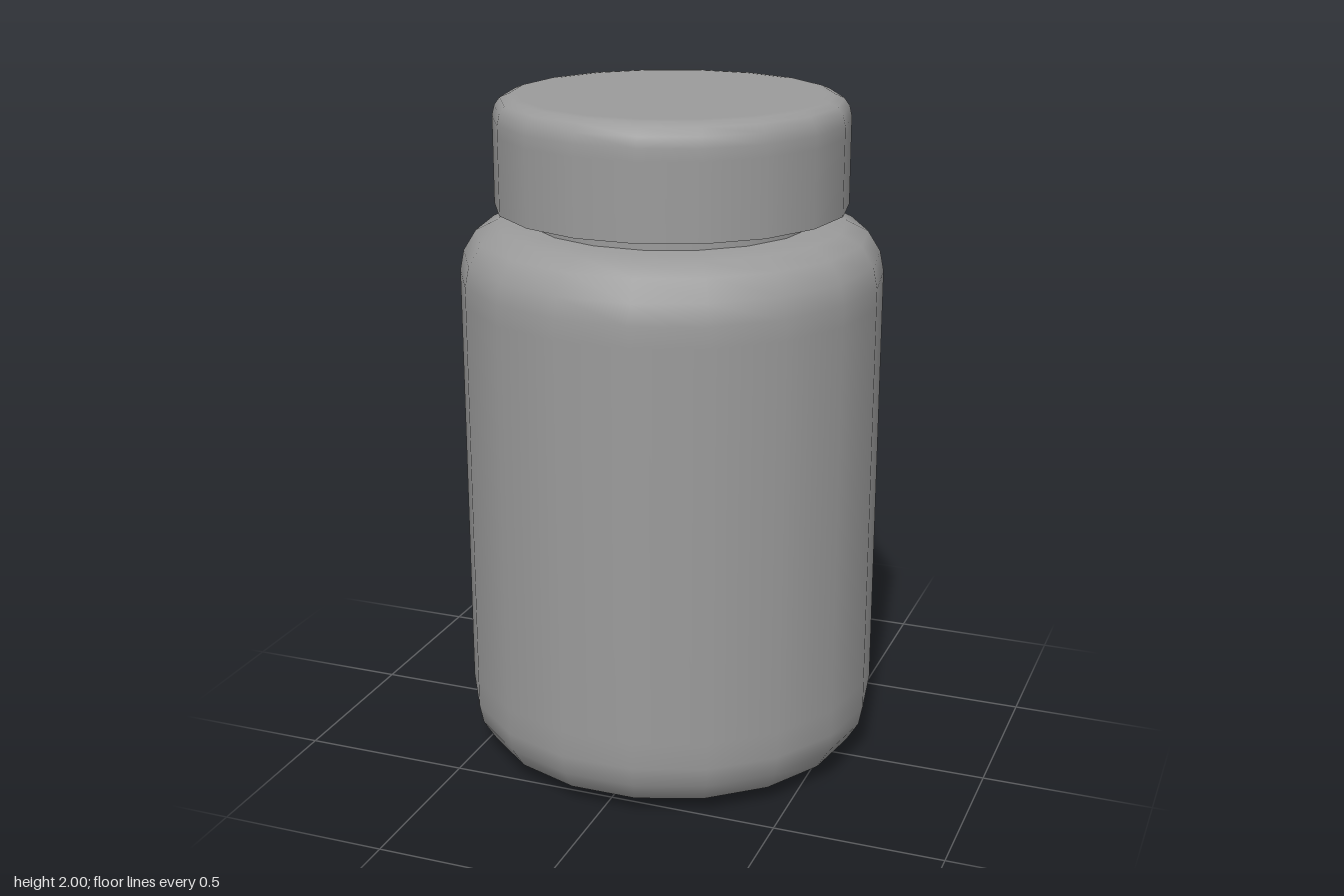
import * as THREE from 'three';

const SIDES = 18;

// Revolve a profile of [radius, height] pairs, listed from bottom to top
function lathe(name, profile, material) {
  const points = profile.map(([r, y]) => new THREE.Vector2(r, y));
  const geometry = new THREE.LatheGeometry(points, SIDES, Math.PI / 2);
  const mesh = new THREE.Mesh(geometry, material);
  mesh.name = name;
  return mesh;
}

export function createModel() {
  const material = new THREE.MeshStandardMaterial({ color: 0x9b9b9b });
  const jar = new THREE.Group();
  jar.name = 'jar';

  // Body with rounded base and shoulder
  jar.add(lathe('body', [
    [0, 0], [0.42, 0], [0.455, 0.006], [0.51, 0.016], [0.572, 0.05], [0.609, 0.11], [0.621, 0.17],
    [0.621, 0.25], [0.621, 1.42], [0.621, 1.48], [0.609, 1.54], [0.572, 1.6],
    [0.51, 1.63], [0.455, 1.637], [0.42, 1.64],
  ], material));

  // Short neck under the cap
  jar.add(lathe('neck', [[0.42, 1.63], [0.42, 1.685]], material));

  // Cap: rounded shell plus a separate underside to keep the lower rim sharp
  const cap = new THREE.Group();
  cap.name = 'cap';
  cap.add(lathe('capShell', [
    [0.515, 1.68], [0.515, 1.9], [0.515, 1.935], [0.508, 1.965], [0.492, 1.987],
    [0.465, 1.998], [0.44, 2], [0, 2],
  ], material));
  cap.add(lathe('capUnderside', [[0.415, 1.68], [0.515, 1.68]], material));
  jar.add(cap);

  return jar;
}
